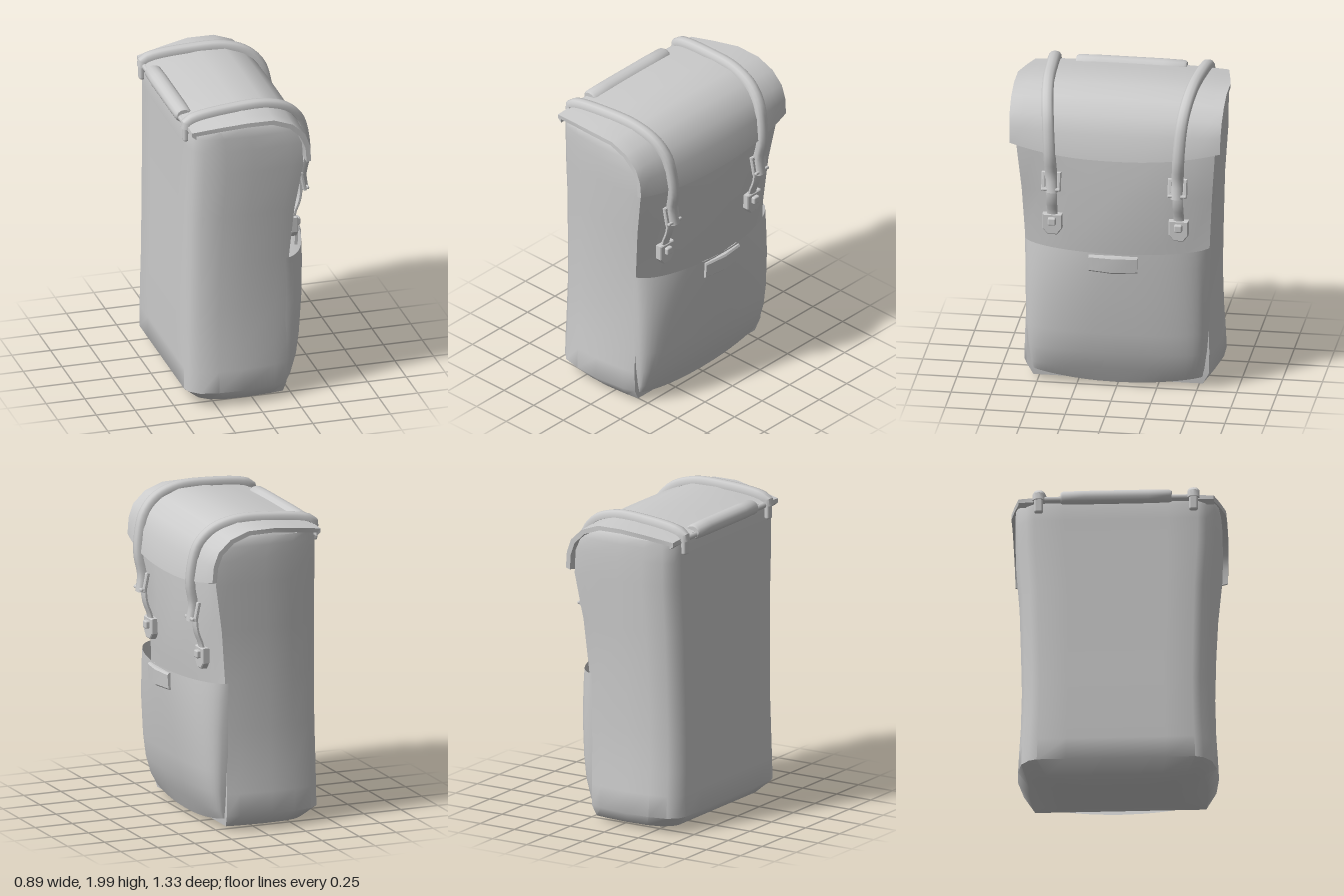
import * as THREE from 'three';
import { toCreasedNormals } from 'three/addons/utils/BufferGeometryUtils.js';
import { RoundedBoxGeometry } from 'three/addons/geometries/RoundedBoxGeometry.js';

const material = new THREE.MeshStandardMaterial({ color: 0xcccccc, side: THREE.DoubleSide });
const V = (x, y, z) => new THREE.Vector3(x, y, z);

function part(parent, name, geometry, x = 0, y = 0, z = 0) {
  const mesh = new THREE.Mesh(geometry, material);
  mesh.name = name;
  mesh.position.set(x, y, z);
  parent.add(mesh);
  return mesh;
}

// Skin through closed rings of equal, even length; ends capped by strips, wound to face outward
function loft(rings, crease) {
  const n = rings[0].length, points = rings.flat(), faces = [];
  const quad = (a, b, c, d) => faces.push([a, b, c], [a, c, d]);
  for (let i = 0; i < rings.length - 1; i++) {
    for (let j = 0; j < n; j++) {
      const a = i * n + j, b = i * n + (j + 1) % n;
      quad(a, b, b + n, a + n);
    }
  }
  const last = (rings.length - 1) * n;
  for (let j = 0; j < n / 2 - 1; j++) {
    quad(n - 1 - j, n - 2 - j, j + 1, j);
    quad(last + j, last + j + 1, last + n - 2 - j, last + n - 1 - j);
  }
  let volume = 0;
  for (const [a, b, c] of faces) volume += points[a].dot(V(0, 0, 0).crossVectors(points[b], points[c]));
  if (volume < 0) faces.forEach((f) => f.reverse());
  const geometry = new THREE.BufferGeometry().setFromPoints(points);
  geometry.setIndex(faces.flat());
  return toCreasedNormals(geometry, crease);
}

// Main bag: y, back x, front corner x, front centre x, half width, front corner z
function bodyGeometry() {
  const rows = [
    [0.01, -0.25, 0.1, 0.1, 0.35, 0.35],
    [0.035, -0.35, 0.195, 0.195, 0.555, 0.53],
    [0.11, -0.43, 0.205, 0.205, 0.622, 0.57],
    [0.25, -0.43, 0.205, 0.207, 0.615, 0.572],
    [0.4, -0.43, 0.205, 0.21, 0.605, 0.57],
    [0.65, -0.425, 0.21, 0.24, 0.598, 0.573],
    [0.97, -0.42, 0.22, 0.3, 0.605, 0.577],
    [1.3, -0.415, 0.25, 0.31, 0.615, 0.595],
    [1.6, -0.41, 0.3, 0.315, 0.638, 0.62],
    [1.75, -0.41, 0.29, 0.305, 0.64, 0.625],
    [1.84, -0.41, 0.25, 0.26, 0.64, 0.625],
    [1.89, -0.4, 0.16, 0.17, 0.635, 0.62],
    [1.91, -0.28, 0.06, 0.06, 0.625, 0.615],
  ];
  return loft(rows.map(([y, b, c, f, w, zc]) => {
    const bulge = (t) => [c + (f - c) * (1 - t * t), zc * t];
    const half = [[b, 0], [b, w * 0.5], [b, w * 0.79], [b + 0.018, w * 0.87], [b + 0.075, w * 0.95],
      [b * 0.7 + c * 0.3, w * 0.99], [b * 0.45 + c * 0.55, w], [c - 0.08, (w + zc) / 2], [c, zc],
      bulge(0.8), bulge(0.5), bulge(0)];
    const mirrored = half.slice(1, -1).reverse().map(([x, z]) => [x, -z]);
    return [...half, ...mirrored].map(([x, z]) => V(x, y, z));
  }), 0.85);
}

// Open-topped front pocket, boxy below and gently curved at the lip
function pocketGeometry() {
  // y, front x, half width, roundness
  const rows = [[0.03, 0.235, 0.53, 0.7], [0.14, 0.285, 0.542, 0.65], [0.26, 0.33, 0.558, 0.65],
    [0.4, 0.357, 0.57, 0.7], [0.65, 0.388, 0.577, 0.8], [0.85, 0.408, 0.58, 0.95], [0.96, 0.415, 0.582, 1.05]];
  const across = 24;
  const geometry = new THREE.PlaneGeometry(1, 1, across, rows.length - 1);
  const position = geometry.attributes.position;
  for (let i = 0; i < position.count; i++) {
    const row = rows.length - 1 - Math.floor(i / (across + 1));
    const [y, front, s, p] = rows[row];
    const a = Math.PI * (i % (across + 1)) / across, c = Math.cos(a);
    const z = s * Math.sign(c) * Math.abs(c) ** p;
    const sag = row === 0 ? 0.055 * (z / s) ** 2 : 0;
    position.setXYZ(i, 0.2 + (front - 0.2) * Math.max(0, Math.sin(a)) ** p, y + sag, z);
  }
  geometry.computeVertexNormals();
  return geometry;
}

// Lid flap: centre profile blended into a lower, flared side profile
function lidGeometry() {
  const centre = [[-0.42, 1.88], [-0.41, 1.915], [-0.25, 1.945], [-0.07, 1.97], [0.1, 1.967],
    [0.22, 1.925], [0.31, 1.84], [0.365, 1.73], [0.39, 1.57]];
  const edge = [[-0.412, 1.87, 0.605], [-0.412, 1.895, 0.605], [-0.25, 1.922, 0.635], [-0.07, 1.946, 0.665],
    [0.1, 1.944, 0.665], [0.22, 1.9, 0.665], [0.3, 1.825, 0.663], [0.332, 1.74, 0.66], [0.34, 1.637, 0.658]];
  const rings = [];
  for (let i = 0; i <= 16; i++) {
    const v = i / 8 - 1, k = Math.abs(v) ** 2.3;
    const outer = centre.map(([x, y], j) => V(
      x + (edge[j][0] - x) * k, y + (edge[j][1] - y) * k, v * edge[j][2]));
    const inner = outer.map((p) => V(p.x + (-0.05 - p.x) * 0.075, p.y + (1.52 - p.y) * 0.065, p.z));
    rings.push([...outer, ...inner.reverse()]);
  }
  return loft(rings, 0.65);
}

// Flat padded band swept along a path, its width kept along z
function bandGeometry(points, halfWidth, halfThick, steps) {
  const curve = new THREE.CatmullRomCurve3(points);
  const section = [[1, -0.7], [1, 0.3], [0.65, 0.85], [0, 1], [-0.65, 0.85], [-1, 0.3], [-1, -0.7], [0, -0.9]];
  const rings = [];
  for (let i = 0; i <= steps; i++) {
    const p = curve.getPointAt(i / steps), t = curve.getTangentAt(i / steps);
    const normal = V(-t.y, t.x, 0).normalize();
    rings.push(section.map(([a, b]) => p.clone().addScaledVector(normal, b * halfThick).add(V(0, 0, a * halfWidth))));
  }
  return loft(rings, 0.8);
}

// Outline in (z, y) extruded along x
function plateGeometry(outline, depth, hole = []) {
  const toPoints = (list) => list.map(([x, y]) => new THREE.Vector2(x, y));
  const shape = new THREE.Shape(toPoints(outline));
  if (hole.length) shape.holes.push(new THREE.Path(toPoints(hole)));
  return new THREE.ExtrudeGeometry(shape, {
    depth, bevelEnabled: true, bevelSize: 0.006, bevelThickness: 0.006, bevelSegments: 1,
  }).rotateY(Math.PI / 2);
}

const rect = (w, h) => [[-w, -h], [w, -h], [w, h], [-w, h]];

function strapAssembly(side) {
  const group = new THREE.Group();
  group.name = side > 0 ? 'leftStrap' : 'rightStrap';
  const z = 0.395 * side;

  // Strap over the lid, drifting inward toward the front
  const path = [[-0.42, 1.88, 0.48], [-0.415, 1.92, 0.48], [-0.36, 1.945, 0.477], [-0.12, 1.972, 0.463],
    [0.1, 1.971, 0.45], [0.25, 1.92, 0.435], [0.335, 1.83, 0.42], [0.37, 1.71, 0.41],
    [0.38, 1.57, 0.402], [0.358, 1.44, 0.395], [0.372, 1.335, 0.39]];
  part(group, 'strap', bandGeometry(path.map(([x, y, d]) => V(x, y, d * side)), 0.036, 0.027, 36));
  part(group, 'strapAnchor', new RoundedBoxGeometry(0.035, 0.13, 0.055, 2, 0.014), -0.42, 1.86, 0.48 * side);

  // Buckle frame with its cross bar
  const buckle = new THREE.Group();
  buckle.name = 'buckle';
  buckle.position.set(0.345, 1.4, z);
  buckle.rotation.z = 0.2;
  part(buckle, 'buckleFrame', plateGeometry(rect(0.055, 0.055), 0.012, rect(0.04, 0.04)));
  part(buckle, 'buckleBar', new RoundedBoxGeometry(0.02, 0.02, 0.12, 2, 0.008), 0.025, -0.05, 0);
  group.add(buckle);

  // Lower webbing and shield-shaped clasp
  const lower = [V(0.335, 1.44, z), V(0.345, 1.34, z), V(0.335, 1.26, z), V(0.305, 1.18, z), V(0.297, 1.1, z)];
  part(group, 'lowerStrap', bandGeometry(lower, 0.032, 0.012, 10));
  const shield = [[-0.055, -0.03], [-0.027, -0.065], [0.027, -0.065], [0.055, -0.03], [0.055, 0.058], [-0.055, 0.058]];
  part(group, 'clasp', plateGeometry(shield, 0.035), 0.277, 1.1, z);
  part(group, 'claspKnob', new RoundedBoxGeometry(0.035, 0.05, 0.05, 2, 0.01), 0.325, 1.12, z);
  return group;
}

export function createModel() {
  const model = new THREE.Group();
  model.name = 'backpack';
  part(model, 'body', bodyGeometry());
  part(model, 'frontPocket', pocketGeometry());
  part(model, 'lid', lidGeometry());

  // Pocket patch, bent outward at the middle
  const patch = [-0.153, -0.14, 0, 0.14, 0.153].map((z) => {
    const x = 0.432 - 0.02 * Math.abs(z) / 0.15, pinch = 1 - 0.08 * Math.abs(z) / 0.15;
    return [[0.004, 0.058], [0.012, 0.045], [0.006, -0.05], [-0.004, -0.06], [-0.03, -0.06], [-0.025, 0.058]]
      .map(([dx, dy]) => V(x + dx, 0.893 + dy * pinch, z));
  });
  part(model, 'pocketPatch', loft(patch, 0.5));

  // Rolled carry handle along the top back edge
  const roll = [[0, -0.345], [0.045, -0.345], [0.055, -0.33], [0.058, -0.2], [0.058, 0.2], [0.055, 0.33],
    [0.045, 0.345], [0, 0.345]].map(([r, h]) => new THREE.Vector2(r, h));
  const grip = toCreasedNormals(new THREE.LatheGeometry(roll, 14), 0.7).rotateX(Math.PI / 2).scale(1, 0.85, 1);
  part(model, 'handleGrip', grip, -0.388, 1.9, 0);
  part(model, 'handleCord', new THREE.CylinderGeometry(0.018, 0.018, 0.96, 8).rotateX(Math.PI / 2), -0.41, 1.89, 0);

  for (const side of [1, -1]) model.add(strapAssembly(side));
  return model;
}
